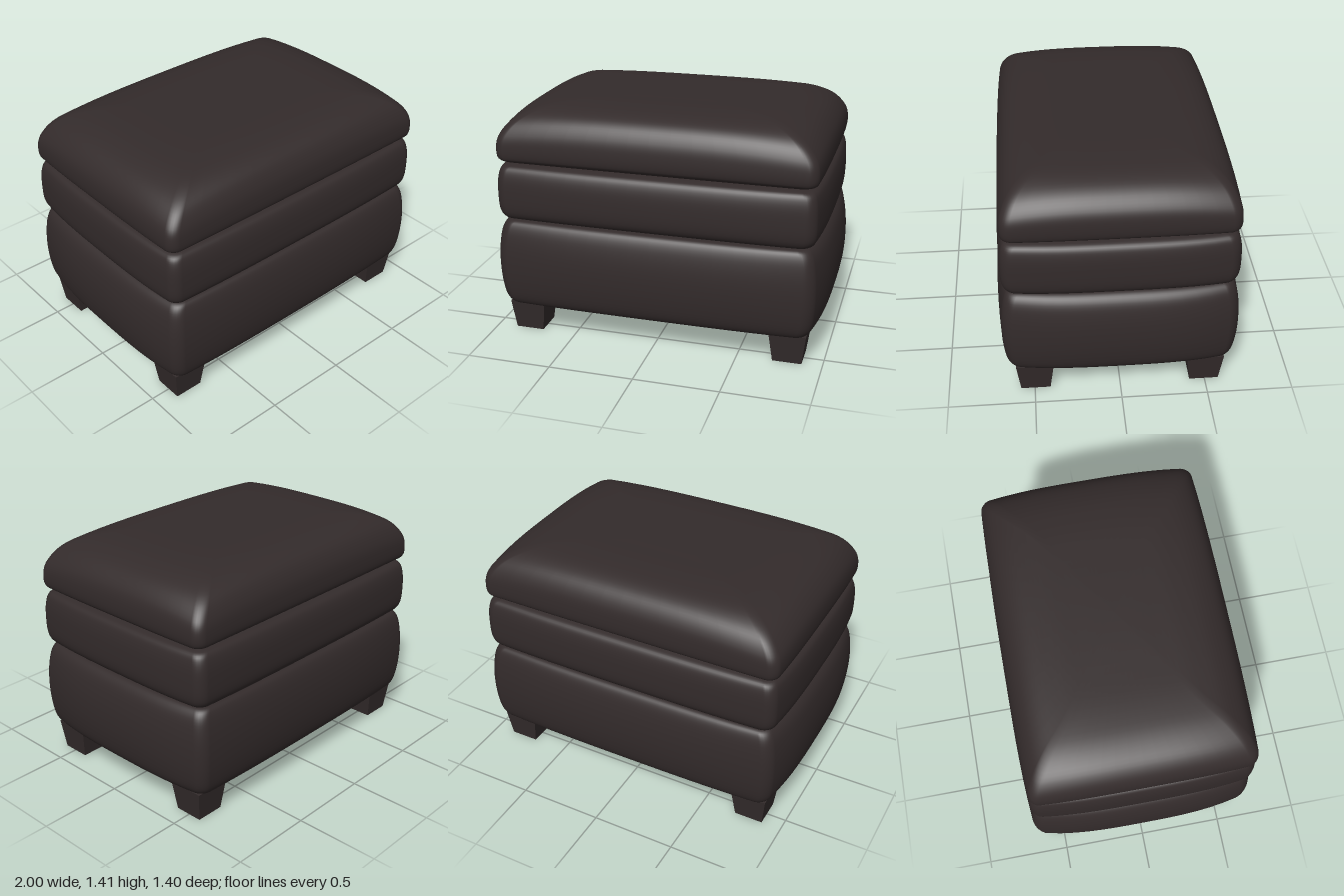
import * as THREE from 'three';

const leather = new THREE.MeshStandardMaterial({ color: 0x332b2b });
leather.name = 'dark brown leather';
const lining = new THREE.MeshStandardMaterial({ color: 0x5c4a36 });
lining.name = 'brown underside cloth';

// Unit outline: a square with rounded corners, as points from -1 to 1
function outline(radiusX, radiusZ) {
  const points = [];
  const corners = [[1, 1], [-1, 1], [-1, -1], [1, -1]];
  const arc = 6, side = 14;
  corners.forEach(([sx, sz], q) => {
    for (let i = 0; i <= arc; i++) {
      const a = (q + i / arc) * Math.PI / 2;
      points.push([sx * (1 - radiusX) + Math.cos(a) * radiusX, sz * (1 - radiusZ) + Math.sin(a) * radiusZ]);
    }
    const [nx, nz] = corners[(q + 1) % 4];
    const [px, pz] = points[points.length - 1];
    const a = (q + 1) * Math.PI / 2;
    const ex = nx * (1 - radiusX) + Math.cos(a) * radiusX;
    const ez = nz * (1 - radiusZ) + Math.sin(a) * radiusZ;
    for (let i = 1; i < side; i++) {
      points.push([px + (ex - px) * i / side, pz + (ez - pz) * i / side]);
    }
  });
  return points;
}

// Lofts a stuffed cushion through [y, half width, half depth] sections;
// bow swells the middle of each side, droop lowers the upper corners
function cushion(name, sections, bowX, bowZ, droop) {
  const ring = outline(0.06, 0.085);
  const n = ring.length;
  const curve = new THREE.CatmullRomCurve3(
    sections.map(([y, hx, hz]) => new THREE.Vector3(hx, y, hz)), false, 'centripetal');
  const steps = (sections.length - 1) * 5;
  const maxX = Math.max(...sections.map((s) => s[1]));
  const maxZ = Math.max(...sections.map((s) => s[2]));
  const bottom = sections[0][0];
  const height = sections[sections.length - 1][0] - bottom;
  const positions = [], index = [];
  for (let i = 0; i <= steps; i++) {
    const p = curve.getPoint(i / steps);
    // The swelling fades towards the seams
    const bx = bowX * (p.x / maxX) ** 6;
    const bz = bowZ * (p.z / maxZ) ** 6;
    const drop = droop * (p.y - bottom) / height;
    for (const [u, v] of ring) {
      const x = p.x * u * (1 + bx * (1 - Math.abs(v) ** 3)) / (1 + bx);
      const z = p.z * v * (1 + bz * (1 - Math.abs(u) ** 3)) / (1 + bz);
      const corner = Math.abs(x * z) / (maxX * maxZ);
      positions.push(x, p.y - drop * corner ** 3, z);
    }
  }
  for (let i = 0; i < steps; i++) {
    for (let j = 0; j < n; j++) {
      const a = i * n + j, b = i * n + (j + 1) % n;
      index.push(a, a + n, b, b, a + n, b + n);
    }
  }
  const geometry = new THREE.BufferGeometry();
  geometry.setAttribute('position', new THREE.Float32BufferAttribute(positions, 3));
  geometry.setIndex(index);
  geometry.computeVertexNormals();
  const mesh = new THREE.Mesh(geometry, leather);
  mesh.name = name;
  return mesh;
}

// Square block leg that narrows to the floor
function leg(name, sx, sz) {
  const height = 0.182;
  const geometry = new THREE.BoxGeometry(0.216, height, 0.216);
  const pos = geometry.attributes.position;
  for (let i = 0; i < pos.count; i++) {
    if (pos.getY(i) < 0) {
      pos.setX(i, pos.getX(i) * 0.79);
      pos.setZ(i, pos.getZ(i) * 0.79);
    }
  }
  const flat = geometry.toNonIndexed();
  flat.computeVertexNormals();
  const mesh = new THREE.Mesh(flat, leather);
  mesh.name = name;
  mesh.position.set(sx * 0.795, height / 2, sz * 0.495);
  return mesh;
}

export function createModel() {
  const group = new THREE.Group();
  group.name = 'footstool';

  // Padded base
  group.add(cushion('base', [
    [0.178, 0, 0], [0.178, 0.9, 0.605], [0.188, 0.935, 0.64], [0.23, 0.968, 0.668],
    [0.33, 0.992, 0.69], [0.46, 1, 0.698], [0.58, 0.99, 0.69], [0.67, 0.965, 0.67],
    [0.71, 0.93, 0.645], [0.72, 0.87, 0.59], [0.72, 0, 0],
  ], 0.07, 0.05, 0));

  // Middle band
  group.add(cushion('middleCushion', [
    [0.725, 0, 0], [0.725, 0.88, 0.6], [0.738, 0.935, 0.645], [0.78, 0.96, 0.67],
    [0.89, 0.968, 0.678], [0.99, 0.96, 0.67], [1.04, 0.94, 0.65],
    [1.06, 0.88, 0.6], [1.06, 0, 0],
  ], 0.04, 0.035, 0));

  // Crowned top cushion with low corners
  group.add(cushion('topCushion', [
    [1.062, 0, 0], [1.065, 0.86, 0.58], [1.078, 0.915, 0.625], [1.105, 0.945, 0.655],
    [1.2, 0.95, 0.66], [1.265, 0.93, 0.647], [1.335, 0.865, 0.605],
    [1.382, 0.75, 0.52], [1.403, 0.58, 0.38], [1.408, 0.3, 0.2], [1.41, 0, 0],
  ], 0.02, 0.02, 0.08));

  // Cloth panel under the base
  const panel = new THREE.Mesh(new THREE.BoxGeometry(1.74, 0.008, 1.16), lining);
  panel.name = 'undersidePanel';
  panel.position.y = 0.176;
  group.add(panel);

  // Four legs
  for (const sx of [1, -1]) {
    for (const sz of [1, -1]) {
      group.add(leg((sz > 0 ? 'front' : 'back') + (sx > 0 ? 'Left' : 'Right') + 'Leg', sx, sz));
    }
  }
  return group;
}
